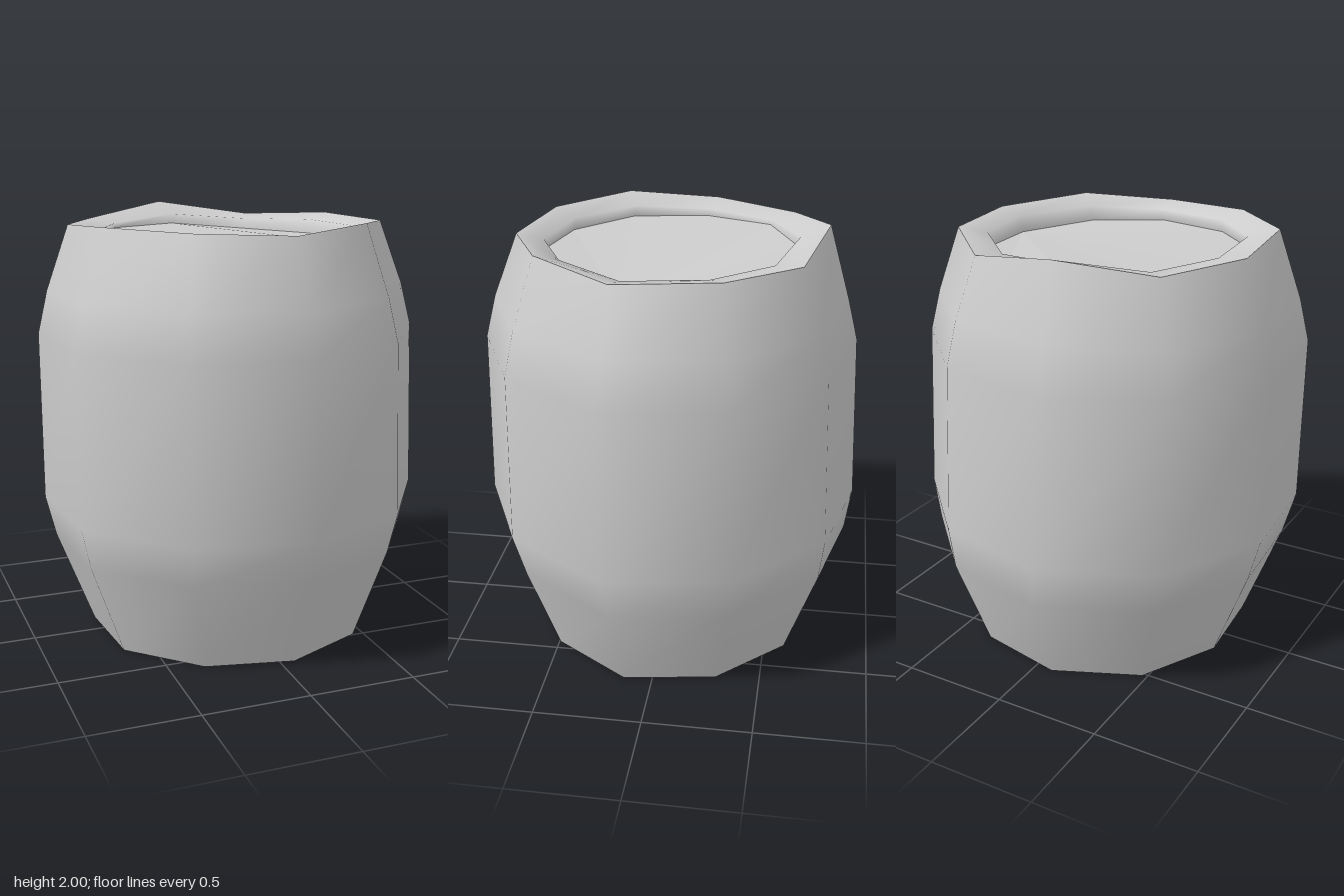
import * as THREE from 'three';

// Irregular ten-sided outlines [x, z], clockwise seen from above
const BELLY = [[-0.13, -0.89], [0.41, -0.77], [0.8, -0.37], [0.885, 0.19], [0.57, 0.66],
  [0.07, 0.885], [-0.46, 0.77], [-0.85, 0.38], [-0.895, -0.17], [-0.64, -0.66]];
const RIM = [[-0.13, -0.71], [0.31, -0.61], [0.625, -0.3], [0.7, 0.165], [0.44, 0.54],
  [0.035, 0.72], [-0.39, 0.63], [-0.71, 0.315], [-0.745, -0.13], [-0.545, -0.53]];
const LIP = [[-0.105, -0.575], [0.255, -0.485], [0.51, -0.23], [0.575, 0.14], [0.36, 0.445],
  [0.03, 0.592], [-0.325, 0.52], [-0.575, 0.265], [-0.6, -0.1], [-0.445, -0.425]];
const RIM_Y = [2, 1.935, 1.955, 1.95, 1.975, 1.95, 1.965, 1.975, 1.95, 1.94];
const LID_DY = [0.03, 0, -0.01, -0.03, -0.01, 0, 0, 0.01, 0.02, 0.03];
const N = BELLY.length;

// Belly outline scaled and shifted to the given extents at height y
function bellyRing(y, x0, x1, z0, z1) {
  return BELLY.map(([x, z]) => [
    x0 + (x + 0.895) / 1.78 * (x1 - x0), y, z0 + (z + 0.89) / 1.775 * (z1 - z0)]);
}

function geometry(points, index) {
  const g = new THREE.BufferGeometry();
  g.setAttribute('position', new THREE.Float32BufferAttribute(points.flat(), 3));
  g.setIndex(index);
  g.computeVertexNormals();
  return g;
}

// Smooth closed band through successive rings
function loft(rings) {
  const index = [];
  for (let r = 0; r < rings.length - 1; r++) {
    for (let i = 0; i < N; i++) {
      const a = r * N + i, b = r * N + (i + 1) % N;
      index.push(b, a, a + N, b, a + N, b + N);
    }
  }
  return geometry(rings.flat(), index);
}

// Faceted cap fanned out from one corner
function cap(ring, hub, up) {
  const index = [];
  for (let k = 1; k < N - 1; k++) {
    const a = (hub + k) % N, b = (hub + k + 1) % N;
    index.push(hub, up ? b : a, up ? a : b);
  }
  const g = geometry(ring, index).toNonIndexed();
  g.computeVertexNormals();
  return g;
}

export function createModel() {
  const group = new THREE.Group();
  group.name = 'barrel';
  const grey = new THREE.MeshStandardMaterial({ color: 0xcccccc });
  grey.name = 'grey';
  const add = (name, geo) => {
    const mesh = new THREE.Mesh(geo, grey);
    mesh.name = name;
    group.add(mesh);
  };

  const bottom = bellyRing(0, -0.67, 0.69, -0.69, 0.665);
  const rim = RIM.map(([x, z], i) => [x, RIM_Y[i], z]);
  const lip = LIP.map(([x, z], i) => [x, RIM_Y[i] * 0.4 + 1.145, z]);
  const lid = LIP.map(([x, z], i) => [x - 0.004, 1.87 + LID_DY[i], z + 0.01]);

  // Bulging side wall
  add('sideWall', loft([
    bottom,
    bellyRing(0.45, -0.84, 0.855, -0.86, 0.83),
    bellyRing(0.65, -0.89, 0.89, -0.89, 0.895),
    bellyRing(1.45, -0.895, 0.86, -0.86, 0.885),
    bellyRing(1.65, -0.85, 0.81, -0.81, 0.835),
    rim]));
  // Rim sloping inward, then dropping to the lid
  add('rim', loft([rim, lip, lid]));
  add('lid', cap(lid, 3, true));
  add('base', cap(bottom, 0, false));
  return group;
}
